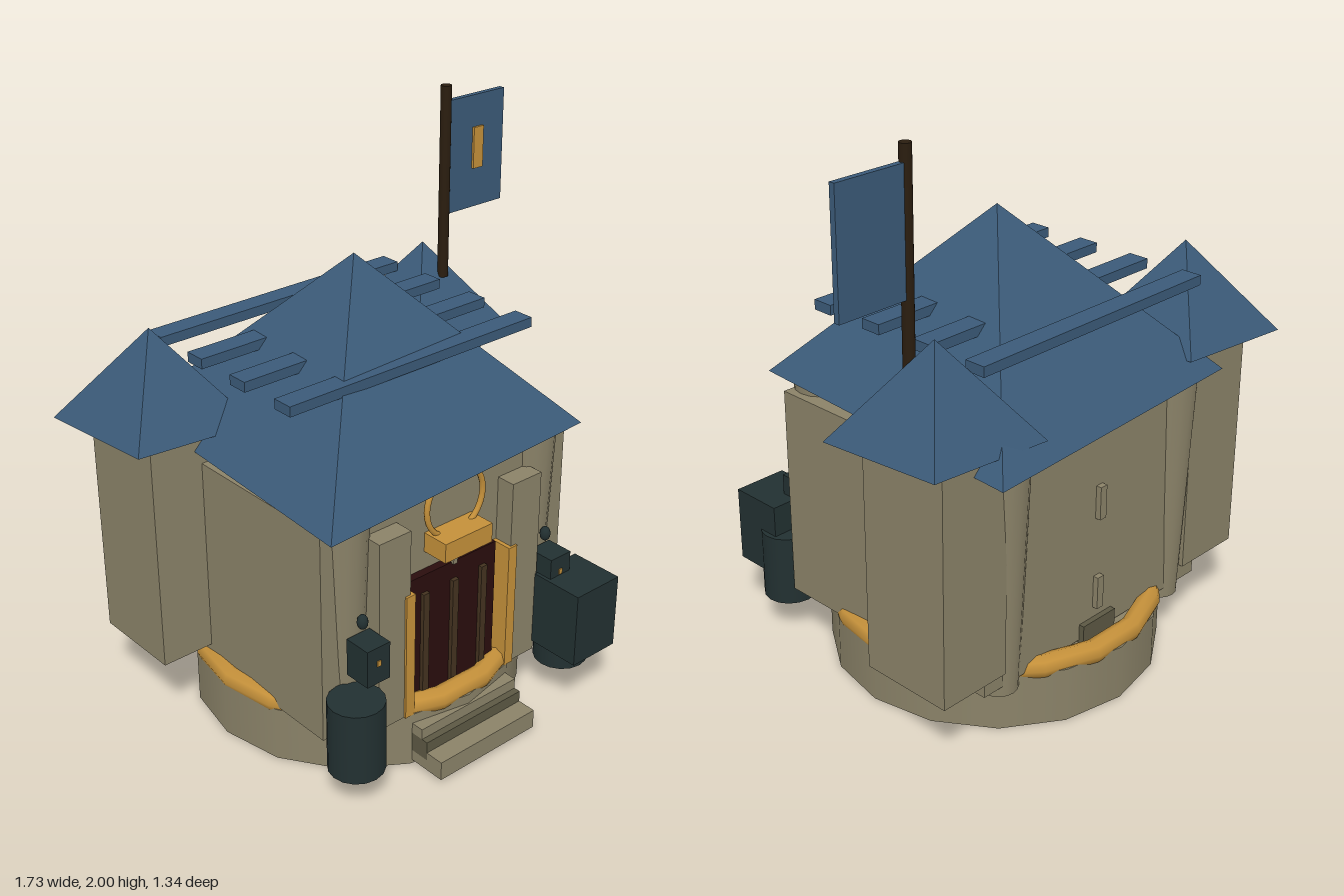
import * as THREE from 'three';

const CX = -0.035, CZ = -0.065; // axis of the main hall

export function createModel() {
  const root = new THREE.Group();
  const mat = (name, color) => {
    const m = new THREE.MeshStandardMaterial({ color });
    m.name = name;
    return m;
  };
  const stone = mat('stone', 0x8a8268);
  const darkStone = mat('dark stone', 0x5c5843);
  const slate = mat('blue roof', 0x3b5a78);
  const gold = mat('gold', 0xc4903a);
  const doorRed = mat('dark red wood', 0x2a0d0d);
  const brown = mat('brown wood', 0x43321f);
  const poleWood = mat('dark pole wood', 0x2a1d0f);
  const iron = mat('dark iron', 0x223031);

  const add = (name, geometry, material, x, y, z) => {
    const mesh = new THREE.Mesh(geometry, material);
    mesh.name = name;
    mesh.position.set(x, y, z);
    root.add(mesh);
    return mesh;
  };
  // box given by its limits on each axis
  const box = (name, material, x0, x1, y0, y1, z0, z1) =>
    add(name, new THREE.BoxGeometry(x1 - x0, y1 - y0, z1 - z0), material,
      (x0 + x1) / 2, (y0 + y1) / 2, (z0 + z1) / 2);
  // four-sided roof on a rhombus: long and short half diagonals, turned by angle
  const pyramid = (name, x, y0, y1, z, long, short, angle) => {
    const geo = new THREE.ConeGeometry(1, y1 - y0, 4).toNonIndexed();
    geo.computeVertexNormals();
    const mesh = add(name, geo, slate, x, (y0 + y1) / 2, z);
    mesh.scale.set(short, 1, long);
    mesh.rotation.y = angle;
  };

  // round base with gold trim
  add('base', new THREE.CylinderGeometry(0.585, 0.585, 0.2, 16), stone, CX, 0.1, CZ);
  const trim = add('baseTrim', new THREE.TorusGeometry(0.55, 0.04, 8, 18), gold, CX, 0.21, CZ);
  trim.rotation.x = Math.PI / 2;

  // front steps
  box('lowerStep', stone, CX - 0.217, CX + 0.217, 0.015, 0.085, 0.44, 0.62);
  box('middleStep', darkStone, CX - 0.217, CX + 0.217, 0.055, 0.126, 0.40, 0.55);
  box('upperStep', stone, CX - 0.217, CX + 0.217, 0.126, 0.165, 0.38, 0.525);

  // hall
  box('hall', stone, CX - 0.535, CX + 0.535, 0.21, 0.978, -0.53, 0.40);
  pyramid('mainRoof', CX, 1.03, 1.615, CZ, 0.858, 0.76, -Math.PI / 4);
  for (let i = 0; i < 4; i++) {
    const z = 0.207 - 0.225 * i;
    box('roofBeam', slate, CX - 0.515, CX + 0.515, 1.31, 1.345, z - 0.038, z + 0.038);
  }

  // tapered corner columns
  for (const sx of [-1, 1]) for (const sz of [-1, 1])
    add('column', new THREE.CylinderGeometry(0.1, 0.066, 0.88, 16), stone,
      CX + sx * 0.412, 0.61, CZ + sz * 0.41);

  // side towers
  for (const s of [-1, 1]) {
    const x = CX + s * 0.592;
    box('tower', stone, x - 0.137, x + 0.137, 0.27, 1.09, -0.547, -0.205);
    pyramid('towerRoof', x, 1.087, 1.418, -0.38, 0.336, 0.272, Math.PI / 4);
  }

  // door with slats, gold posts and flanking pilasters
  box('door', doorRed, CX - 0.193, CX + 0.193, 0.2, 0.685, 0.39, 0.43);
  for (const dx of [-0.13, 0, 0.13])
    box('doorSlat', brown, CX + dx - 0.013, CX + dx + 0.013, 0.22, 0.62, 0.42, 0.445);
  for (const s of [-1, 1]) {
    const post = CX + s * 0.229, pil = CX + s * 0.291;
    box('doorPost', gold, post - 0.019, post + 0.019, 0.2, 0.67, 0.40, 0.478);
    box('pilaster', stone, pil - 0.066, pil + 0.066, 0.2, 0.905, 0.39, 0.47);
  }

  // plaque and ring above the door
  box('plaqueStem', stone, CX - 0.009, CX + 0.009, 0.68, 0.76, 0.39, 0.44);
  box('plaque', gold, CX - 0.104, CX + 0.104, 0.75, 0.82, 0.40, 0.50);
  add('goldRing', new THREE.TorusGeometry(0.123, 0.01, 8, 32), gold, CX, 0.913, 0.43);

  // slits and sill on the back wall
  for (const y of [0.37, 0.71])
    box('backSlit', stone, CX - 0.015, CX + 0.015, y - 0.06, y + 0.06, -0.55, -0.52);
  box('backSill', darkStone, CX - 0.08, CX + 0.08, 0.17, 0.27, -0.55, -0.51);

  // lanterns on the front columns, barrels below
  for (const s of [-1, 1]) {
    const x = CX + s * 0.411;
    box('lantern', iron, x - 0.047, x + 0.047, 0.45, 0.585, 0.43, 0.53);
    box('lanternLight', gold, x - 0.007, x + 0.007, 0.515, 0.535, 0.528, 0.534);
    add('lanternHook', new THREE.SphereGeometry(0.019, 12, 8), iron, x, 0.64, 0.452).scale.y = 1.4;
    add('barrel', new THREE.CylinderGeometry(0.096, 0.096, 0.26, 16), iron,
      CX + s * 0.475, 0.267, 0.495);
  }
  box('crate', iron, 0.316, 0.517, 0.235, 0.51, 0.47, 0.67);

  // flag
  add('flagPole', new THREE.CylinderGeometry(0.02, 0.02, 0.7, 12), poleWood, 0.59, 1.65, -0.307);
  box('flag', slate, 0.6, 0.862, 1.535, 1.945, -0.318, -0.297);
  box('flagPanel', gold, 0.712, 0.758, 1.68, 1.83, -0.297, -0.288);

  return root;
}
